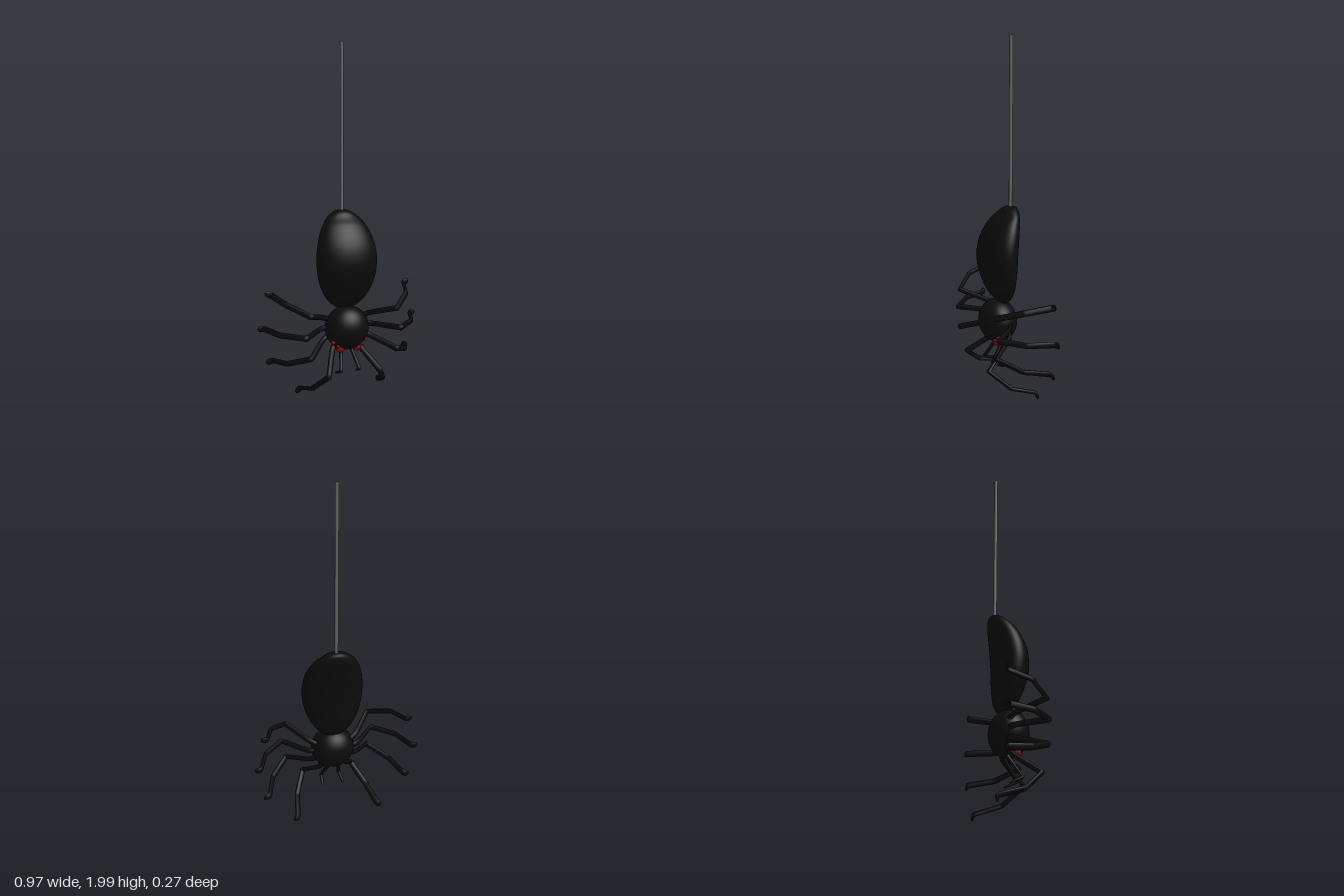
import * as THREE from 'three';

const black = new THREE.MeshStandardMaterial({ color: 0x0b0b0b });
const red = new THREE.MeshStandardMaterial({ color: 0x7a0d10 });
const grey = new THREE.MeshStandardMaterial({ color: 0x666666 });

function mesh(name, geometry, material, parent) {
  const m = new THREE.Mesh(geometry, material);
  m.name = name;
  parent.add(m);
  return m;
}

// Smooth skin over a list of equally divided rings
function loft(rings) {
  const n = rings[0].length, index = [];
  for (let i = 0; i < rings.length - 1; i++) {
    for (let j = 0; j < n; j++) {
      const a = i * n + j, b = i * n + (j + 1) % n;
      index.push(a, b, a + n, b, b + n, a + n);
    }
  }
  const g = new THREE.BufferGeometry().setFromPoints(rings.flat());
  g.setIndex(index);
  g.computeVertexNormals();
  return g;
}

const ring = (n, f) => Array.from({ length: n }, (_, j) => {
  const t = j / n * Math.PI * 2;
  return f(Math.cos(t), Math.sin(t));
});

// Flattened limb in the local x-z plane; points are [outward, z, half thickness, half width]
function limb(points) {
  const dir = (p, q) => new THREE.Vector2(q[0] - p[0], q[1] - p[1]).normalize();
  const rings = points.map((p, i) => {
    const before = dir(points[Math.max(i - 1, 0)], points[Math.max(i, 1)]);
    const last = points.length - 1;
    const after = dir(points[Math.min(i, last - 1)], points[Math.min(i + 1, last)]);
    const t = before.clone().add(after).normalize();
    const h = p[2] / Math.max(t.dot(before), 0.6); // mitre at the joints
    return ring(12, (c, s) => new THREE.Vector3(p[0] + t.y * c * h, s * p[3], p[1] - t.x * c * h));
  });
  return loft(rings);
}

// Abdomen side profile, top to bottom: [y, front z, back z]
const abdomenProfile = [
  [1.08, -0.09, -0.1], [1.07, -0.052, -0.118], [1.04, -0.025, -0.122], [1.0, 0.018, -0.119],
  [0.9, 0.076, -0.106], [0.8, 0.096, -0.098], [0.7, 0.085, -0.095], [0.6, 0.048, -0.088],
  [0.55, 0.012, -0.074], [0.53, -0.012, -0.057], [0.522, -0.034, -0.036],
];

function abdomen() {
  const curve = new THREE.CatmullRomCurve3(abdomenProfile.map(p => new THREE.Vector3(...p)));
  const rings = [];
  for (let i = 0; i <= 40; i++) {
    const { x: y, y: front, z: back } = curve.getPoint(i / 40);
    const k = (y - 0.801) / 0.28;
    const rx = 0.177 * Math.sqrt(Math.max(1 - k * k, 0.0001));
    rings.push(ring(40, (c, s) =>
      new THREE.Vector3(c * rx, y, (front + back) / 2 + s * (front - back) / 2)));
  }
  return loft(rings);
}

const legPath = [
  [0.07, -0.035, 0.013, 0.016], [0.12, -0.028, 0.013, 0.016], [0.15, -0.015, 0.012, 0.016],
  [0.175, 0.008, 0.012, 0.016], [0.27, 0.112, 0.011, 0.017], [0.28, 0.121, 0.011, 0.017],
  [0.289, 0.113, 0.011, 0.017], [0.393, 0.018, 0.011, 0.017], [0.401, 0.004, 0.011, 0.017],
  [0.446, -0.118, 0.01, 0.018], [0.454, -0.129, 0.008, 0.018], [0.47, -0.131, 0.006, 0.018],
  [0.481, -0.131, 0.005, 0.013], [0.487, -0.131, 0.001, 0.002],
];

const palpPath = [
  [0.09, -0.03, 0.011, 0.011], [0.14, -0.015, 0.011, 0.011], [0.238, 0.048, 0.008, 0.011],
  [0.244, 0.052, 0.008, 0.011], [0.248, 0.046, 0.008, 0.011],
  [0.276, -0.01, 0.005, 0.008], [0.281, -0.017, 0.001, 0.001],
];

export function createModel() {
  const model = new THREE.Group();
  model.name = 'hangingSpider';

  // Thread
  const thread = mesh('thread', new THREE.CylinderGeometry(0.01, 0.01, 0.96, 12), grey, model);
  thread.position.set(0, 1.52, -0.085);

  // Body
  mesh('abdomen', abdomen(), black, model);
  const head = mesh('head', new THREE.SphereGeometry(1, 40, 28), black, model);
  head.scale.set(0.127, 0.126, 0.107);
  head.position.set(0, 0.416, -0.006);

  // Legs and feelers fan out from the centre of the head
  const legGeometry = limb(legPath), palpGeometry = limb(palpPath);
  for (const side of [1, -1]) {
    const label = side > 0 ? 'left' : 'right';
    const place = (name, geometry, degrees) => {
      const m = mesh(label + name, geometry, black, model);
      const a = THREE.MathUtils.degToRad(degrees);
      m.position.y = 0.42;
      m.rotation.z = side > 0 ? a : Math.PI - a;
    };
    [25, 0, -25, -57].forEach((deg, i) => place('Leg' + (i + 1), legGeometry, deg));
    place('Feeler', palpGeometry, -77);

    // Eyes
    [[0.05, 0.308, 0.022, 0.026], [0.095, 0.35, 0.034, 0.014], [0.068, 0.328, 0.042, 0.012]]
      .forEach(([x, y, z, r], i) => {
        const eye = mesh(label + 'Eye' + (i + 1), new THREE.SphereGeometry(r, 16, 12), red, model);
        eye.position.set(side * x, y, z);
      });
  }
  return model;
}
